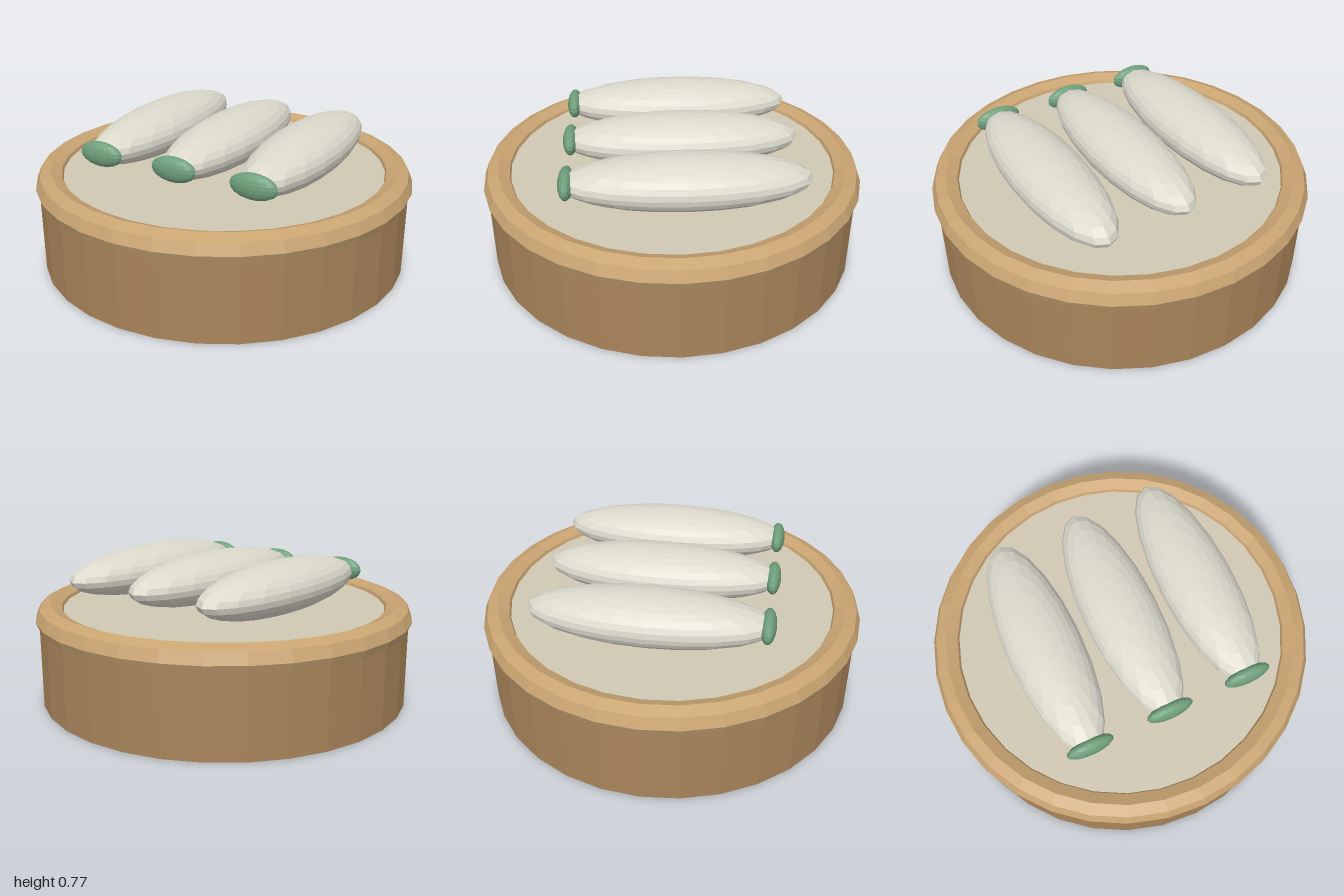
import * as THREE from 'three';

const SIDES = 32;

function material(color) {
  return new THREE.MeshStandardMaterial({ color, flatShading: true });
}

function addMesh(parent, name, geometry, mat) {
  const mesh = new THREE.Mesh(geometry, mat);
  mesh.name = name;
  parent.add(mesh);
  return mesh;
}

// Faceted ellipsoid with its poles up and down
function ellipsoid(rx, ry, rz, around, rings) {
  return new THREE.SphereGeometry(1, around, rings).scale(rx, ry, rz);
}

export function createModel() {
  const group = new THREE.Group();
  group.name = 'basketOfVegetables';

  const wood = material(0xa9845a);
  const rimWood = material(0xc9a472);
  const lining = material(0xd0c8b4);
  const skin = material(0xdcd9cc);
  const green = material(0x6f9f7c);

  // Round wooden tub
  const tub = addMesh(group, 'tub', new THREE.CylinderGeometry(0.982, 0.982, 0.45, SIDES), wood);
  tub.position.y = 0.225;

  // Thick rim around the top
  const rim = addMesh(group, 'rim', new THREE.TorusGeometry(0.92, 0.08, 8, SIDES), rimWood);
  rim.rotation.x = Math.PI / 2;
  rim.position.y = 0.45;

  // Pale bed inside the rim
  const bed = addMesh(group, 'bed', new THREE.CylinderGeometry(0.86, 0.86, 0.06, SIDES), lining);
  bed.position.y = 0.46;

  // Three long vegetables side by side, each with a green cap at the front
  const bodyGeometry = ellipsoid(0.195, 0.13, 0.617, 20, 14);
  const capGeometry = ellipsoid(0.125, 0.065, 0.04, 16, 10);
  for (let i = 0; i < 3; i++) {
    const vegetable = new THREE.Group();
    vegetable.name = 'vegetable' + (i + 1);
    vegetable.position.set(-0.408 + i * 0.432, 0.642, -0.045);
    addMesh(vegetable, 'body', bodyGeometry, skin);
    addMesh(vegetable, 'cap', capGeometry, green).position.set(0, 0.004, 0.577);
    group.add(vegetable);
  }

  return group;
}
